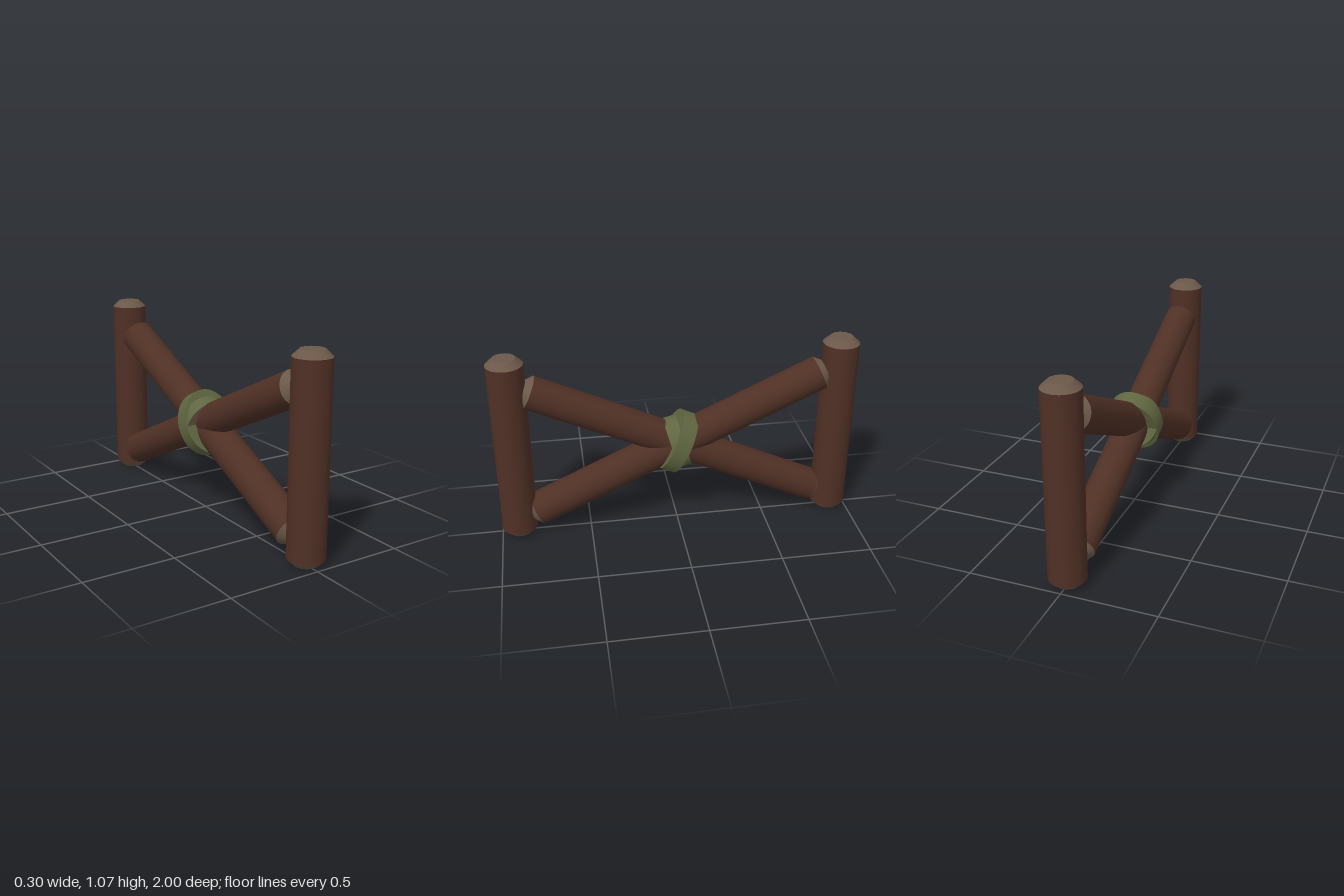
import * as THREE from 'three';

const material = (name, color) => {
  const m = new THREE.MeshStandardMaterial({ color });
  m.name = name;
  return m;
};

export function createModel() {
  const bark = material('bark', 0x4f3025);
  const cutWood = material('cutWood', 0x6b5849);
  const binding = material('binding', 0x5f6640);
  const model = new THREE.Group();
  model.name = 'crossedLogBarrier';

  // Log along y, centred, with a bevelled cut at both ends
  function log(name, radius, length) {
    const group = new THREE.Group();
    group.name = name;
    const bevel = 0.035;
    const body = length - 2 * bevel;
    const trunk = new THREE.Mesh(new THREE.CylinderGeometry(radius, radius, body, 32, 1, true), bark);
    trunk.name = 'trunk';
    group.add(trunk);
    for (const end of [1, -1]) {
      const cap = new THREE.Mesh(new THREE.CylinderGeometry(radius * 0.62, radius, bevel, 32), cutWood);
      cap.name = 'cutEnd';
      cap.position.y = end * (body + bevel) / 2;
      if (end < 0) cap.rotation.x = Math.PI;
      group.add(cap);
    }
    model.add(group);
    return group;
  }

  // Upright posts
  for (const side of [1, -1]) {
    log(side > 0 ? 'frontPost' : 'backPost', 0.099, 1.07).position.set(0.007, 0.535, side * 0.9);
  }

  // Crossed beams
  const tilt = THREE.MathUtils.degToRad(65.35);
  const beams = [['beamRisingToFront', 1, 0, 0.092], ['beamRisingToBack', -1, 0.006, 0.095]];
  for (const [name, side, x, radius] of beams) {
    const beam = log(name, radius, 1.81);
    beam.position.set(x, 0.502, 0);
    beam.rotation.x = side * tilt;
  }

  // Two bindings wrapped around the crossing
  function band(name, rx, rz, width, degrees, materials) {
    const mesh = new THREE.Mesh(new THREE.CylinderGeometry(1, 1, width, 40), materials);
    mesh.name = name;
    mesh.scale.set(rx, 1, rz);
    mesh.position.set(0, 0.5, 0);
    mesh.rotation.x = THREE.MathUtils.degToRad(degrees);
    model.add(mesh);
  }
  band('outerBinding', 0.15, 0.18, 0.087, 65.5, binding);
  band('innerBinding', 0.145, 0.145, 0.076, 106, [binding, cutWood, binding]);

  return model;
}
